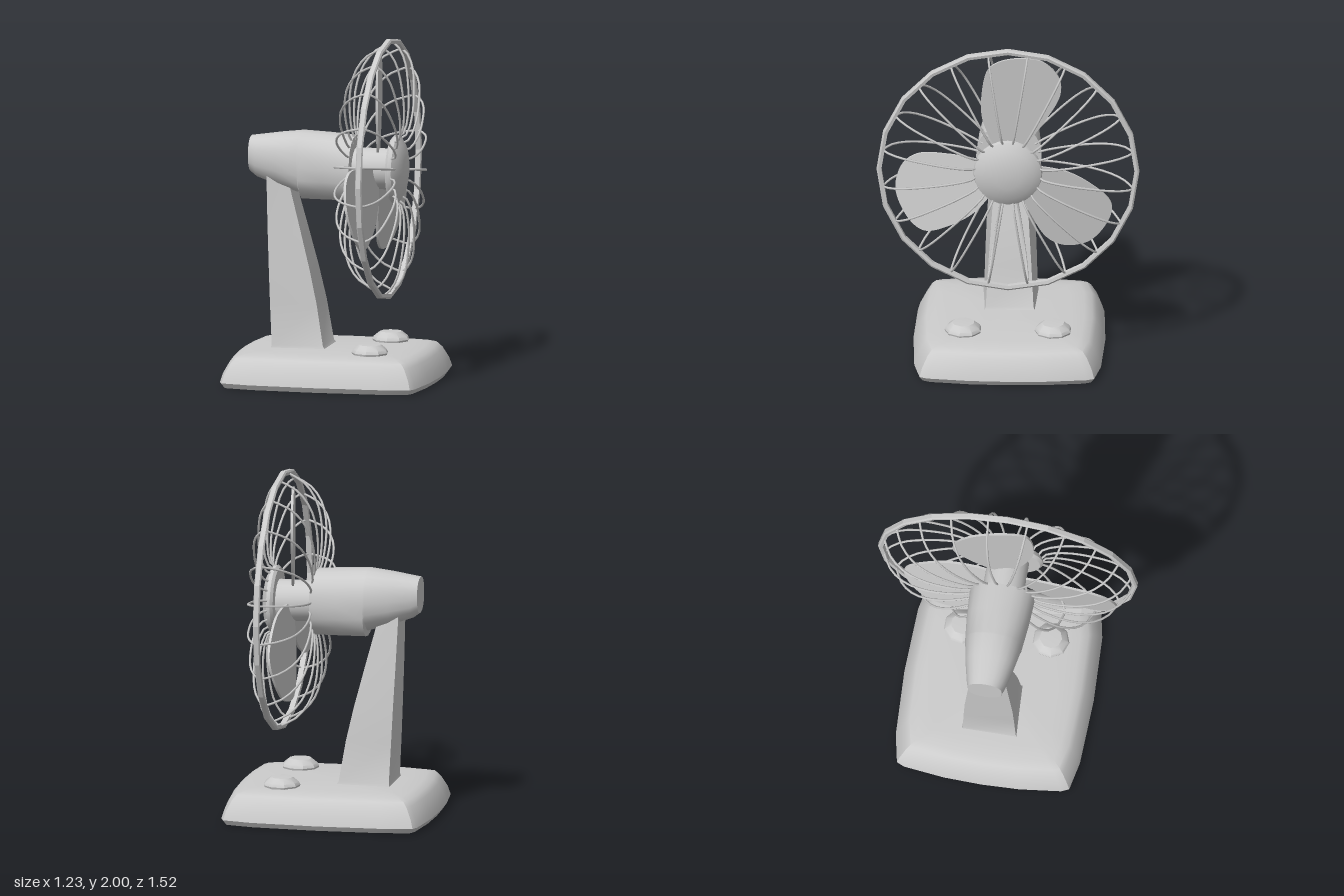
import * as THREE from 'three';
import { toCreasedNormals } from 'three/addons/utils/BufferGeometryUtils.js';

const material = new THREE.MeshStandardMaterial({ color: 0xcccccc });
const FAN_Y = 1.24;

function addMesh(parent, name, geometry) {
  const mesh = new THREE.Mesh(geometry, material);
  mesh.name = name;
  parent.add(mesh);
  return mesh;
}

// Skin over a list of equal-length cross-sections, closed at both ends
function loft(rings, crease) {
  const n = rings[0].length;
  const positions = rings.flat().flat();
  const index = [];
  for (let i = 0; i < rings.length - 1; i++) {
    for (let j = 0; j < n; j++) {
      const a = i * n + j, b = i * n + (j + 1) % n;
      index.push(a, a + n, b, b, a + n, b + n);
    }
  }
  [0, rings.length - 1].forEach((r) => {
    const centre = positions.length / 3;
    for (let k = 0; k < 3; k++) positions.push(rings[r].reduce((s, p) => s + p[k], 0) / n);
    for (let j = 0; j < n; j++) {
      const a = r * n + j, b = r * n + (j + 1) % n;
      if (r === 0) index.push(centre, a, b);
      else index.push(centre, b, a);
    }
  });
  const geometry = new THREE.BufferGeometry();
  geometry.setAttribute('position', new THREE.Float32BufferAttribute(positions, 3));
  geometry.setIndex(index);
  return toCreasedNormals(geometry, crease);
}

// Solid of revolution about the fan axis (x), from [radius, x] pairs
function turned(profile, segments, crease) {
  const points = profile.map(([r, x]) => new THREE.Vector2(r, x));
  const geometry = new THREE.LatheGeometry(points, segments).rotateZ(-Math.PI / 2);
  return toCreasedNormals(geometry, crease);
}

function baseGeometry() {
  // One quarter of the bowed outline, mirrored to all four
  const q = [[0.615, 0], [0.608, 0.22], [0.58, 0.46], [0.56, 0.505], [0.39, 0.54], [0, 0.555]];
  const half = [...q, ...q.slice(0, -1).reverse().map(([x, z]) => [-x, z])];
  const outline = [...half, ...half.slice(1, -1).reverse().map(([x, z]) => [x, -z])];
  // Height and inset from the edge
  const levels = [[0, 0.02], [0.012, 0.012], [0.03, 0], [0.08, 0.015], [0.145, 0.05],
    [0.172, 0.075], [0.185, 0.12], [0.195, 0.2]];
  const rings = levels.map(([y, d]) =>
    outline.map(([x, z]) => [x * (1 - d / 0.615), y, z * (1 - d / 0.555)]));
  return loft(rings, 0.6);
}

function neckGeometry() {
  // y, back x, front x, back half width, front half width
  const sections = [[0.18, -0.355, -0.025, 0.165, 0.15], [0.21, -0.345, -0.045, 0.155, 0.138],
    [0.45, -0.357, -0.085, 0.148, 0.125], [0.65, -0.366, -0.13, 0.14, 0.112],
    [0.9, -0.378, -0.195, 0.122, 0.095], [1.2, -0.39, -0.275, 0.1, 0.075]];
  return loft(sections.map(([y, xb, xf, wb, wf]) =>
    [[xf, y, wf], [xb, y, wb], [xb, y, -wb], [xf, y, -wf]]), 0.5);
}

function motorGeometry() {
  // x, top, bottom, half width
  const sections = [[-0.5, 1.41, 1.2, 0.1], [-0.46, 1.416, 1.17, 0.112], [-0.33, 1.435, 1.125, 0.142],
    [-0.2, 1.45, 1.085, 0.165], [-0.19, 1.45, 1.05, 0.167], [-0.04, 1.442, 1.05, 0.182],
    [0.12, 1.43, 1.05, 0.19]];
  const soft = (v) => Math.sign(v) * Math.abs(v) ** 0.85;
  return loft(sections.map(([x, top, bottom, w]) => Array.from({ length: 20 }, (_, i) => {
    const t = i / 20 * Math.PI * 2;
    return [x, (top + bottom) / 2 + soft(Math.cos(t)) * (top - bottom) / 2, -soft(Math.sin(t)) * w];
  })), 0.7);
}

function bladeGeometry() {
  const shape = new THREE.Shape();
  shape.moveTo(-0.05, 0.09);
  shape.splineThru([[-0.1, 0.17], [-0.15, 0.31], [-0.155, 0.45], [-0.125, 0.6], [-0.05, 0.66],
    [0.08, 0.672], [0.2, 0.64], [0.29, 0.54], [0.298, 0.42], [0.22, 0.28], [0.13, 0.16],
    [0.06, 0.09]].map(([x, y]) => new THREE.Vector2(x, y)));
  const geometry = new THREE.ExtrudeGeometry(shape, { depth: 0.014, bevelEnabled: false, curveSegments: 30 });
  // Pitch the blade, then face it along the fan axis
  const p = geometry.attributes.position;
  for (let i = 0; i < p.count; i++) p.setZ(i, p.getZ(i) + 0.245 - 0.18 * p.getX(i));
  geometry.rotateY(Math.PI / 2);
  geometry.computeVertexNormals();
  return geometry;
}

function wireGeometry(profile) {
  const curve = new THREE.CatmullRomCurve3(profile.map(([x, r]) => new THREE.Vector3(x, r, 0)));
  return new THREE.TubeGeometry(curve, 12, 0.007, 5);
}

export function createModel() {
  const model = new THREE.Group();
  model.name = 'deskFan';

  // Stand
  addMesh(model, 'base', baseGeometry());
  addMesh(model, 'neck', neckGeometry());
  addMesh(model, 'motorHousing', motorGeometry());

  // Control knobs
  const knob = toCreasedNormals(new THREE.LatheGeometry(
    [[0.1, 0.18], [0.108, 0.205], [0.1, 0.222], [0.065, 0.25], [0, 0.253]]
      .map(([r, y]) => new THREE.Vector2(r, y)), 9), 0.5);
  for (const side of [-1, 1]) addMesh(model, 'knob', knob).position.set(0.265, 0, side * 0.26);

  // Fan head, turning about x
  const fan = new THREE.Group();
  fan.name = 'fanHead';
  fan.position.y = FAN_Y;
  model.add(fan);
  addMesh(fan, 'shaft', turned([[0, 0.1], [0.12, 0.1], [0.12, 0.34], [0, 0.34]], 20, 0.6));
  addMesh(fan, 'frontCap', turned([[0, 0.335], [0.185, 0.335], [0.2, 0.35], [0.195, 0.372],
    [0.15, 0.4], [0.08, 0.418], [0, 0.423]], 24, 0.6));
  addMesh(fan, 'guardRing', turned([[0.732, 0.297], [0.75, 0.293], [0.76, 0.3], [0.76, 0.325],
    [0.75, 0.332], [0.732, 0.328], [0.732, 0.297]], 20, 0.25));

  // Blades
  const blade = bladeGeometry();
  for (let i = 0; i < 3; i++) addMesh(fan, 'blade', blade).rotation.x = i * Math.PI * 2 / 3;

  // Guard wires, front and back
  const frontWire = wireGeometry([[0.355, 0.18], [0.395, 0.21], [0.418, 0.33], [0.412, 0.48],
    [0.385, 0.63], [0.345, 0.705], [0.31, 0.735]]);
  const backWire = wireGeometry([[0.12, 0.17], [0.105, 0.22], [0.095, 0.36], [0.105, 0.48],
    [0.14, 0.59], [0.21, 0.68], [0.31, 0.735]]);
  for (let i = 0; i < 20; i++) {
    const angle = (i + 0.5) * Math.PI / 10;
    addMesh(fan, 'frontWire', frontWire).rotation.x = angle;
    addMesh(fan, 'backWire', backWire).rotation.x = angle;
  }
  return model;
}
